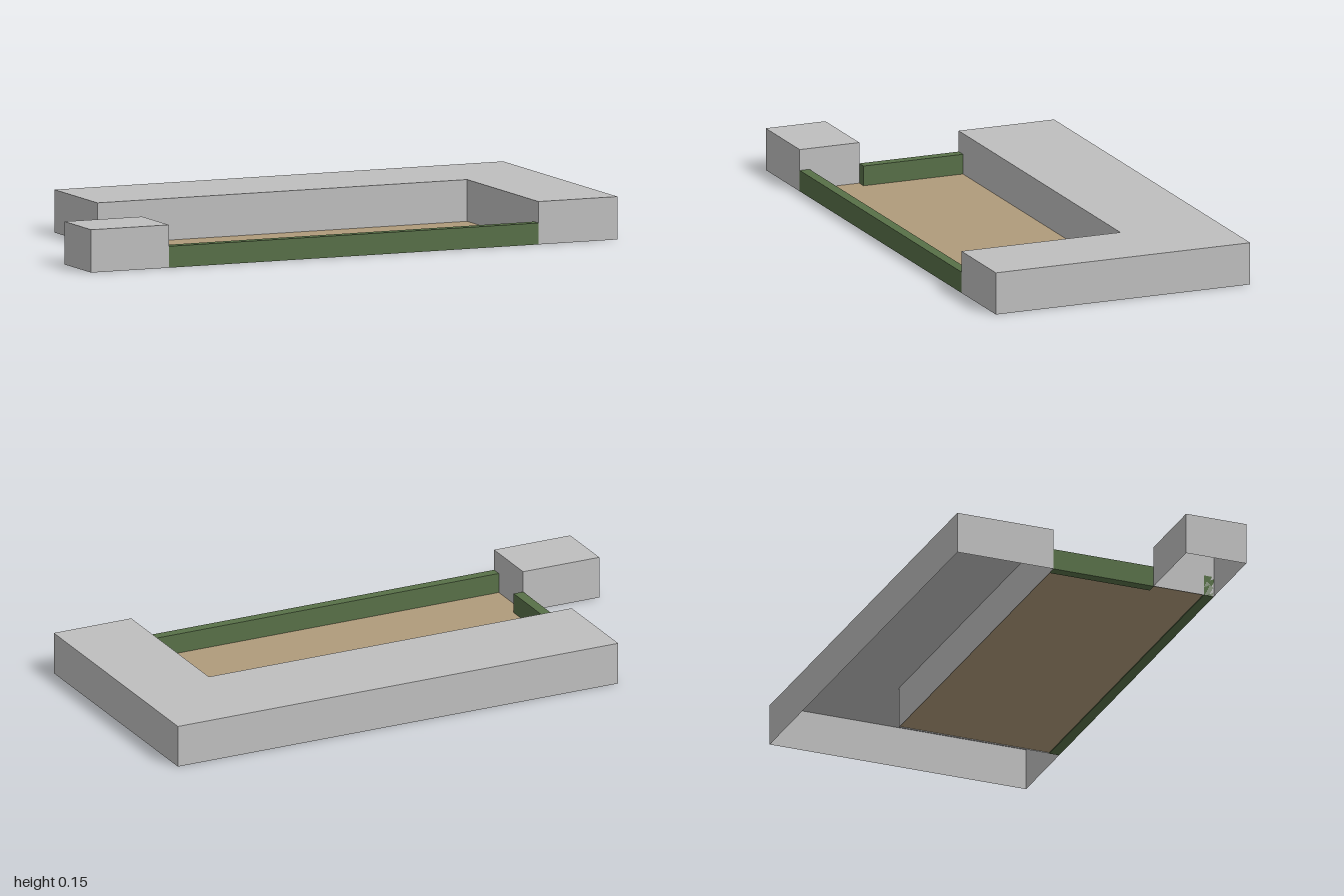
import * as THREE from 'three';
import { mergeGeometries } from 'three/addons/utils/BufferGeometryUtils.js';

const H = 0.15, HEDGE_H = 0.075, EPS = 0.004;

// Open-bottomed block: flat roof plus one wall per footprint edge.
// The footprint is a list of [x, z] corners, counter-clockwise seen from above.
function shellGeometry(footprint, height) {
  const shape = new THREE.Shape(footprint.map(([x, z]) => new THREE.Vector2(x, -z)));
  const roof = new THREE.ShapeGeometry(shape).rotateX(-Math.PI / 2).translate(0, height, 0);
  const walls = footprint.map(([x0, z0], i) => {
    const [x1, z1] = footprint[(i + 1) % footprint.length];
    const dx = x1 - x0, dz = z1 - z0;
    return new THREE.PlaneGeometry(Math.hypot(dx, dz), height)
      .rotateY(Math.atan2(-dz, dx))
      .translate((x0 + x1) / 2, height / 2, (z0 + z1) / 2);
  });
  return mergeGeometries([roof, ...walls]);
}

export function createModel() {
  const concrete = new THREE.MeshStandardMaterial({ color: 0xbfbfbf, side: THREE.DoubleSide });
  concrete.name = 'grey building';
  const hedge = new THREE.MeshStandardMaterial({ color: 0x587048 });
  hedge.name = 'hedge green';
  const sand = new THREE.MeshStandardMaterial({ color: 0xb09b7b, side: THREE.DoubleSide });
  sand.name = 'sandy ground';

  const model = new THREE.Group();
  model.name = 'courtyardBuilding';
  const add = (name, geometry, material) => {
    const mesh = new THREE.Mesh(geometry, material);
    mesh.name = name;
    model.add(mesh);
  };
  const box = (x0, x1, z0, z1, h) =>
    new THREE.BoxGeometry(x1 - x0, h, z1 - z0).translate((x0 + x1) / 2, h / 2, (z0 + z1) / 2);

  // L-shaped main building and the small outbuilding
  add('mainBuilding', shellGeometry([
    [-0.705, -0.48], [-0.705, -0.12], [0.70, -0.12], [0.70, 0.48], [1, 0.48], [1, -0.48],
  ], H), concrete);
  add('outbuilding', shellGeometry([
    [-1, 0.255], [-1, 0.48], [-0.705, 0.48], [-0.705, 0.255],
  ], H), concrete);

  // Courtyard ground
  add('courtyardGround',
    new THREE.PlaneGeometry(1.405, 0.6).rotateX(-Math.PI / 2).translate(-0.0025, EPS, 0.18), sand);

  // Low hedges closing the courtyard
  add('frontHedge', box(-0.705, 0.70, 0.443, 0.48, HEDGE_H), hedge);
  add('sideHedge', box(-0.705, -0.668, -0.12, 0.255, HEDGE_H), hedge);

  return model;
}
